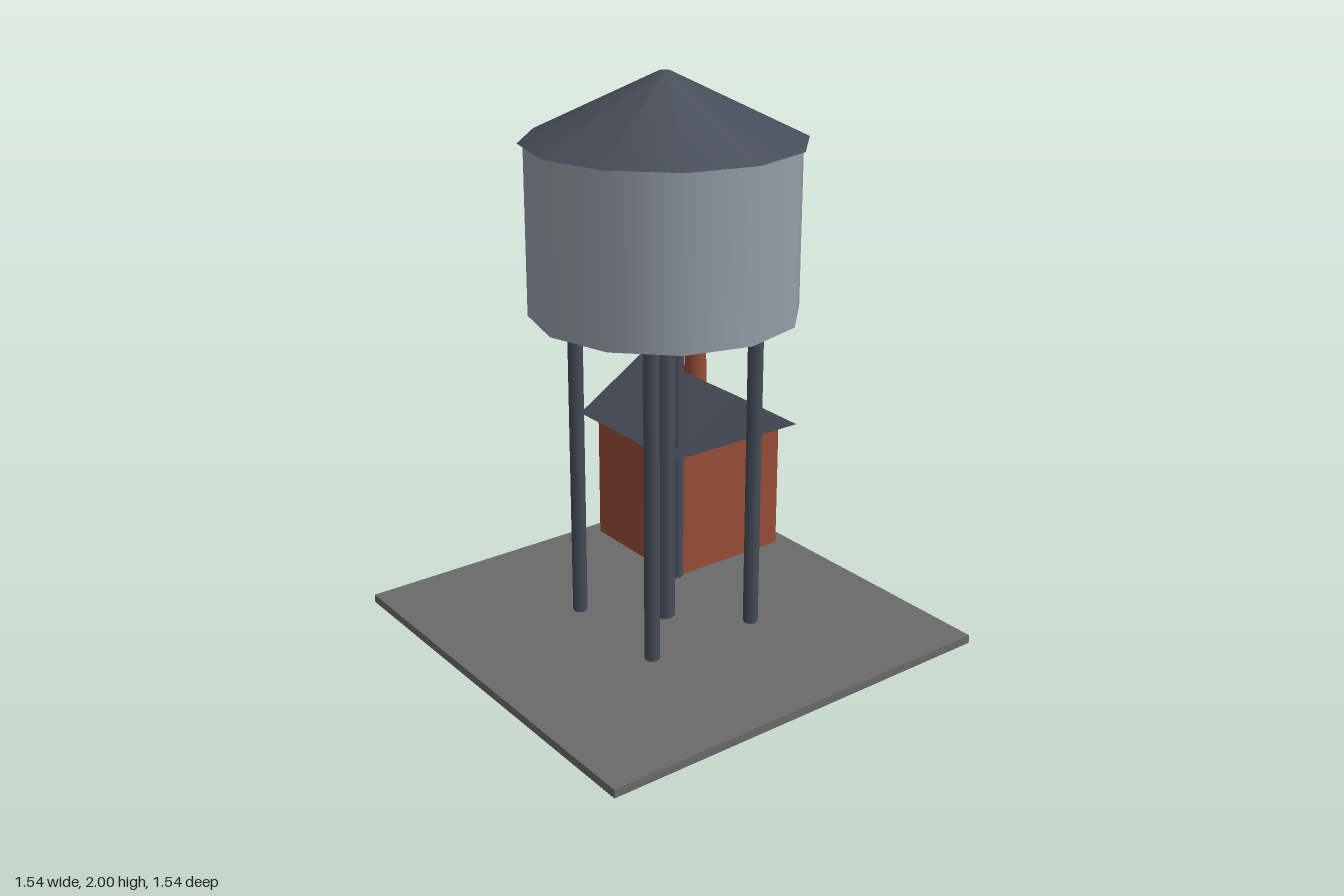
import * as THREE from 'three';

export function createModel() {
  const model = new THREE.Group();
  model.name = 'waterTower';

  const mat = (name, color) => {
    const m = new THREE.MeshStandardMaterial({ color });
    m.name = name;
    return m;
  };
  const concrete = mat('concrete', 0x6a6a6a);
  const steel = mat('darkSteel', 0x464c58);
  const tankGrey = mat('tankGrey', 0x959ea7);
  const brick = mat('brick', 0x964d36);

  const add = (name, geometry, material, x, y, z) => {
    const mesh = new THREE.Mesh(geometry, material);
    mesh.name = name;
    mesh.position.set(x, y, z);
    model.add(mesh);
    return mesh;
  };
  // Upright cylinder between two heights
  const post = (name, material, rTop, rBottom, y0, y1, sides, x = 0, z = 0) =>
    add(name, new THREE.CylinderGeometry(rTop, rBottom, y1 - y0, sides), material, x, (y0 + y1) / 2, z);

  // Ground slab
  add('groundSlab', new THREE.BoxGeometry(1.54, 0.03, 1.54), concrete, 0, 0.015, 0);

  // Four legs and the central riser pipe
  for (const x of [-0.22, 0.22]) {
    for (const z of [-0.22, 0.22]) post('towerLeg', steel, 0.027, 0.027, 0.03, 1.2, 8, x, z);
  }
  post('riserPipe', steel, 0.037, 0.037, 0.03, 1.2, 8);

  // Tank and its conical roof
  post('tank', tankGrey, 0.463, 0.463, 1.19, 1.775, 12);
  post('tankRoof', steel, 0.02, 0.482, 1.775, 2, 12);

  // Pump house walls
  add('pumpHouseWalls', new THREE.BoxGeometry(0.5, 0.51, 0.5), brick, 0.46, 0.285, -0.46);

  // Gabled roof, ridge running front to back
  const gable = new THREE.Shape();
  gable.moveTo(-0.3, 0);
  gable.lineTo(0.3, 0);
  gable.lineTo(0, 0.187);
  gable.closePath();
  const roof = new THREE.ExtrudeGeometry(gable, { depth: 0.6, bevelEnabled: false });
  add('pumpHouseRoof', roof, steel, 0.46, 0.537, -0.763);

  // Tapered chimney and cap
  post('chimney', brick, 0.039, 0.048, 0.55, 1.1, 10, 0.635, -0.638);
  post('chimneyCap', steel, 0.046, 0.046, 1.1, 1.145, 10, 0.635, -0.638);

  return model;
}
